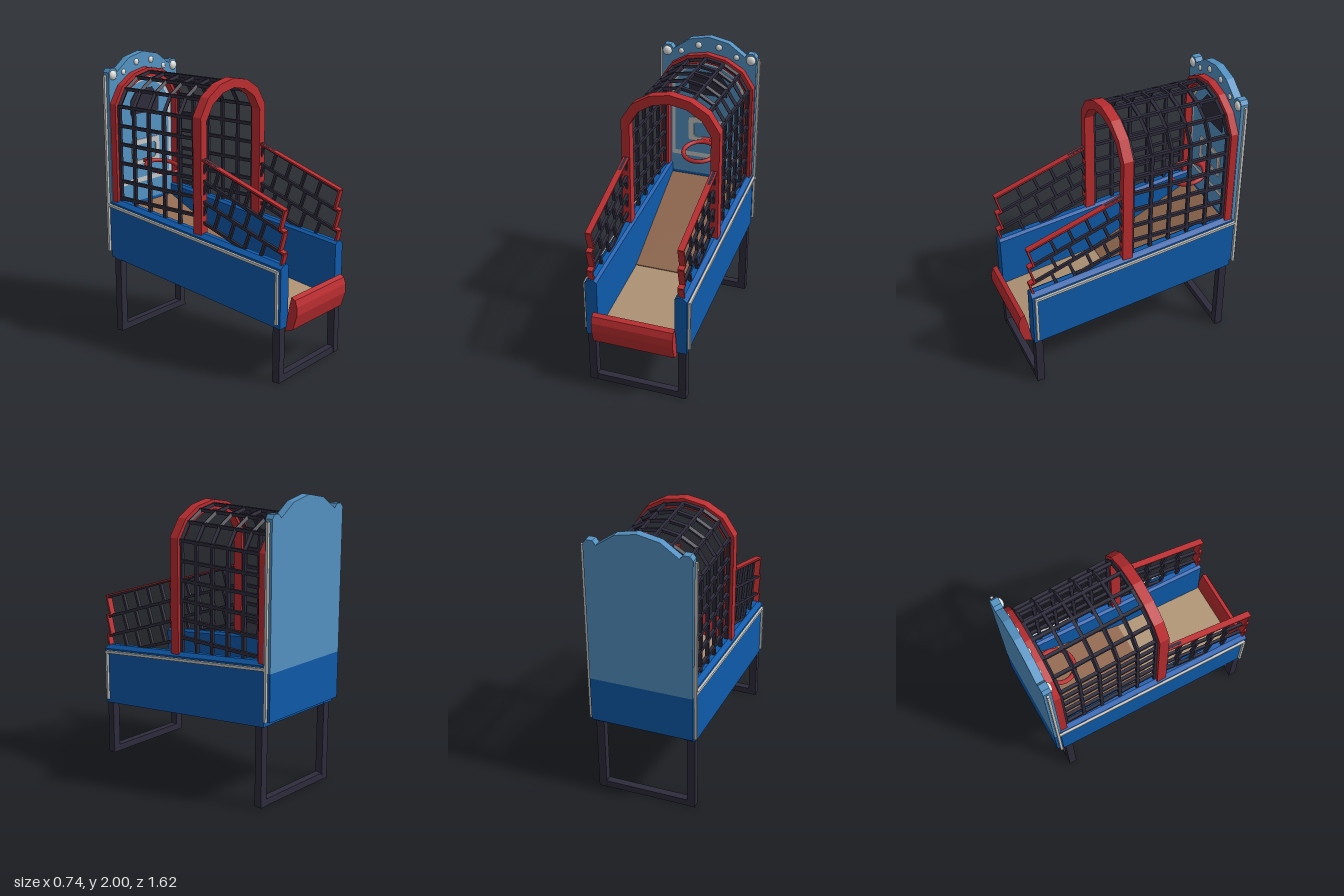
import * as THREE from 'three';

const mat = (name, color) => Object.assign(new THREE.MeshStandardMaterial({ color }), { name });
const M = {
  blue: mat('cabinet blue', 0x0e5aab),
  sky: mat('board light blue', 0x5493c4),
  red: mat('red', 0xbb2d30),
  dark: mat('dark metal', 0x2e2c3c),
  grey: mat('pale grey trim', 0xc8c8c6),
  white: mat('bulb white', 0xe2e4e2),
  tan: mat('tan floor', 0xae9273),
  brown: mat('brown ramp', 0x90684f),
};
const V = (x, y, z) => new THREE.Vector3(x, y, z);

function add(parent, name, geo, material, x = 0, y = 0, z = 0) {
  const m = new THREE.Mesh(geo, material);
  m.name = name;
  m.position.set(x, y, z);
  parent.add(m);
  return m;
}
const box = (p, name, m, w, h, d, x, y, z) => add(p, name, new THREE.BoxGeometry(w, h, d), m, x, y, z);

function group(parent, name) {
  const g = new THREE.Group();
  g.name = name;
  parent.add(g);
  return g;
}
const toShape = (pts) => new THREE.Shape(pts.map((p) => new THREE.Vector2(p[0], p[1])));

// outline in x,y, extruded from z0 to z1
function slab(pts, z0, z1, hole) {
  const s = toShape(pts);
  if (hole) s.holes.push(toShape(hole));
  return new THREE.ExtrudeGeometry(s, { depth: z1 - z0, bevelEnabled: false }).translate(0, 0, z0);
}
// outline in z,y, extruded across a width centred on x = 0
function across(pts, w) {
  return slab(pts, -w / 2, w / 2).rotateY(-Math.PI / 2);
}
// straight box bar between two points
function bar(p, name, m, a, b, w, h = w) {
  const dir = b.clone().sub(a);
  const len = dir.length();
  const o = add(p, name, new THREE.BoxGeometry(w, h, len), m);
  o.position.copy(a).add(b).multiplyScalar(0.5);
  o.quaternion.setFromUnitVectors(V(0, 0, 1), dir.divideScalar(len));
  return o;
}
// faceted arch line from the left foot over the top to the right foot
function archLine(w, foot, spring, top) {
  const half = [[1, 0], [0.77, 0.55], [0.41, 0.88]].map(([u, v]) => [u * w, spring + v * (top - spring)]);
  const right = [[w, foot], ...half];
  const left = right.map(([x, y]) => [-x, y]);
  return [...left, [0, top], ...right.reverse()];
}
const rect = (w, y0, y1, c) => [
  [-w + c, y0], [w - c, y0], [w, y0 + c], [w, y1 - c], [w - c, y1], [-w + c, y1], [-w, y1 - c], [-w, y0 + c]];
const cabinetTop = (z) => 0.81 + 0.121 * (0.73 - z);

function buildCabinet(root) {
  const g = group(root, 'cabinet');
  // sloping side walls with chamfered tops
  for (const s of [-1, 1]) {
    const section = [[0.27, 0.38], [0.355, 0.38], [0.355, 0.785], [0.325, 0.81], [0.29, 0.81], [0.27, 0.795]];
    const geo = slab(section.map(([x, y]) => [s * x, y]), -0.76, 0.73);
    const p = geo.attributes.position;
    for (let i = 0; i < p.count; i++) p.setY(i, p.getY(i) + 0.121 * (0.73 - p.getZ(i)));
    geo.computeVertexNormals();
    add(g, 'sideWall', geo, M.blue);
    // pale edge trim
    const x = s * 0.363;
    bar(g, 'frontTrim', M.grey, V(x, 0.41, 0.705), V(x, 0.77, 0.705), 0.018);
    bar(g, 'topTrim', M.grey, V(x, 0.765, 0.71), V(x, 0.945, -0.775), 0.018);
    bar(g, 'boardTrim', M.grey, V(x, 0.6, -0.78), V(x, 1.87, -0.78), 0.018);
  }
  // belly, floor and ramp
  add(g, 'belly', across([[0.72, 0.382], [0.72, 0.41], [0.03, 0.505], [-0.755, 0.88], [-0.755, 0.56]], 0.545), M.blue);
  add(g, 'floor', across([[0.73, 0.405], [0.73, 0.42], [0.03, 0.52], [0.03, 0.5]], 0.542), M.tan);
  add(g, 'ramp', across([[0.03, 0.5], [0.03, 0.525], [-0.75, 0.9], [-0.75, 0.875]], 0.542), M.brown);
  add(g, 'frontBumper', across([[0.795, 0.575], [0.765, 0.59], [0.745, 0.5], [0.72, 0.345],
    [0.78, 0.37], [0.81, 0.47], [0.81, 0.53]], 0.57), M.red);
}

function buildLegs(root) {
  const g = group(root, 'legs');
  for (const [z, top] of [[0.695, 0.4], [-0.715, 0.58]]) {
    for (const s of [-1, 1]) box(g, 'leg', M.dark, 0.055, top, 0.055, s * 0.32, top / 2, z);
    box(g, 'footBar', M.dark, 0.6, 0.048, 0.05, 0, 0.024, z);
  }
}

function buildBackboard(root) {
  const g = group(root, 'backboard');
  const split = 0.92;
  const crown = [[0.35, 1.885], [0.33, 1.912], [0.285, 1.912], [0.265, 1.885], [0.145, 1.97]];
  add(g, 'board', slab([[-0.35, split], [0.35, split], ...crown, [0, 2],
    ...crown.map(([x, y]) => [-x, y]).reverse()], -0.805, -0.75), M.sky);
  box(g, 'boardBase', M.blue, 0.7, split - 0.6, 0.055, 0, (split + 0.6) / 2, -0.7775);

  // painted details on the board
  const paint = [-0.75, -0.744];
  add(g, 'archOutline', slab(archLine(0.268, 1.058, 1.64, 1.828), ...paint,
    archLine(0.245, 1.092, 1.64, 1.795)), M.grey);
  add(g, 'scoreWindow', slab([[-0.143, 1.56], [0.143, 1.56], [0.143, 1.66], [0.08, 1.735],
    [-0.08, 1.735], [-0.143, 1.66]], ...paint), M.dark);
  add(g, 'targetFrame', slab(rect(0.143, 1.19, 1.372, 0.008), ...paint,
    rect(0.105, 1.22, 1.335, 0.015)), M.grey);

  // hoop, tipped down at the front
  const hoop = add(g, 'hoop', new THREE.TorusGeometry(0.12, 0.016, 8, 24).rotateX(Math.PI / 2),
    M.red, 0, 1.188, -0.578);
  hoop.rotation.x = 0.2;
  box(g, 'hoopBracket', M.red, 0.06, 0.025, 0.055, 0, 1.212, -0.722);

  // crown bulbs
  for (const s of [-1, 1]) {
    for (const [x, y, r] of [[0.31, 1.865, 0.034], [0.205, 1.875, 0.02], [0.075, 1.932, 0.023]]) {
      add(g, 'bulb', new THREE.SphereGeometry(r, 14, 10).scale(1, 1, 0.6), M.white, s * x, y, -0.75);
    }
  }
}

function buildTunnel(root) {
  const g = group(root, 'tunnel');
  for (const [name, z0, z1, foot] of [['frontArch', 0, 0.07, 0.88], ['backArch', -0.75, -0.7, 0.97]]) {
    const outline = [...archLine(0.345, foot, 1.67, 1.89), ...archLine(0.285, foot, 1.64, 1.825).reverse()];
    add(g, name, slab(outline, z0, z1), M.red);
  }
  // net: hoops along the tunnel, then lengthwise bars
  const net = group(g, 'tunnelNet');
  for (const z of [-0.008, -0.143, -0.28, -0.418, -0.555, -0.69]) {
    const line = archLine(0.313, cabinetTop(z) - 0.03, 1.655, 1.858);
    for (let i = 0; i + 1 < line.length; i++) {
      bar(net, 'netArch', M.dark, V(...line[i], z), V(...line[i + 1], z), 0.022);
    }
  }
  const nodes = archLine(0.313, 1.52, 1.655, 1.858);
  for (const y of [1.0, 1.125, 1.255, 1.39]) nodes.push([-0.313, y], [0.313, y]);
  for (const [x, y] of nodes) bar(net, 'netRail', M.dark, V(x, y, 0), V(x, y, -0.72), 0.022);
}

function buildFences(root) {
  for (const s of [-1, 1]) {
    const g = group(root, s > 0 ? 'leftFence' : 'rightFence');
    const x = s * 0.312;
    const railY = (row, z) => 1.155 - 0.142 * row + 0.35 * (0.73 - z);
    for (let row = 0; row < 4; row++) {
      const zStart = row < 3 ? 0.725 : 0.4;
      bar(g, 'fenceRail', M.dark, V(x, railY(row, zStart), zStart), V(x, railY(row, 0.04), 0.04), 0.02);
      if (row === 3) continue;
      // staggered uprights, square to the rails, ending at the cabinet
      for (const z of [0.575, 0.45, 0.325, 0.2, 0.09]) {
        const y = railY(row, z);
        const low = Math.max(y - 0.127, cabinetTop(z) - 0.02);
        if (low < y) bar(g, 'fenceUpright', M.dark, V(x, y, z), V(x, low, z - 0.35 * (y - low)), 0.02);
      }
      // saw-toothed red front edge
      const y = railY(row, 0.73);
      const drop = row < 2 ? 0.125 : 0.075;
      bar(g, 'fenceFrontEdge', M.red, V(x, y + 0.01, 0.73), V(x, y - drop, 0.73 - 0.3 * drop), 0.042, 0.014);
      if (row) bar(g, 'fenceStep', M.red, V(x, y + 0.012, 0.735), V(x, y + 0.027, 0.69), 0.042, 0.012);
    }
    bar(g, 'fenceTopEdge', M.red, V(x, 1.165, 0.735), V(x, 1.392, 0.06), 0.042, 0.012);
  }
}

export function createModel() {
  const root = new THREE.Group();
  root.name = 'hoopShootingCabinet';
  buildCabinet(root);
  buildLegs(root);
  buildBackboard(root);
  buildTunnel(root);
  buildFences(root);
  return root;
}
